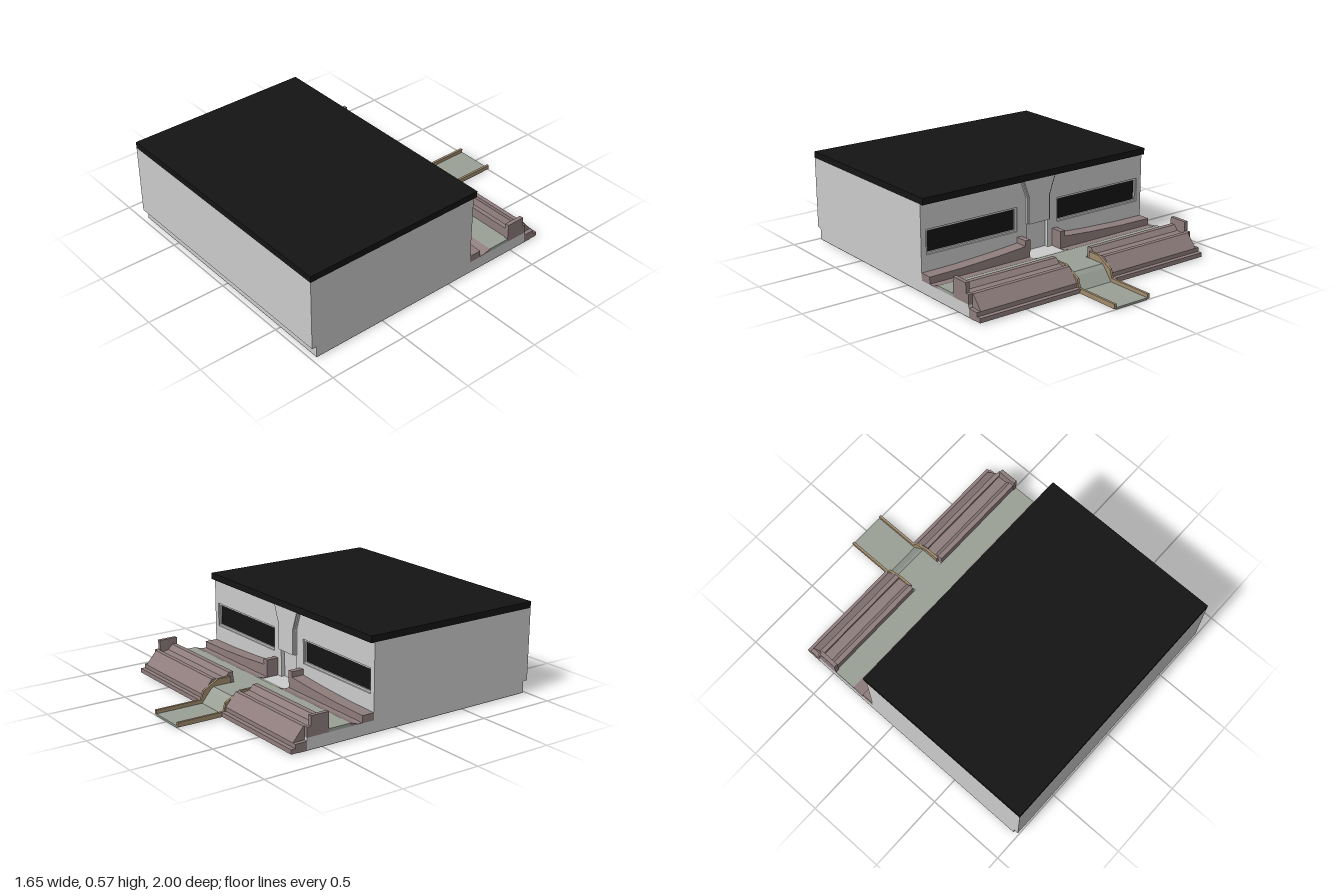
import * as THREE from 'three';

const mat = (color) => new THREE.MeshStandardMaterial({ color, flatShading: true });

export function createModel() {
  const model = new THREE.Group();
  const wall = mat(0xcccccc), black = mat(0x141414), brown = mat(0x8f7d7d);
  const paving = mat(0x9aa096), olive = mat(0xa08b6d);

  const add = (name, geometry, material) => {
    const mesh = new THREE.Mesh(geometry, material);
    mesh.name = name;
    model.add(mesh);
    return mesh;
  };
  // Box given by its limits on each axis
  const box = (name, material, x0, x1, y0, y1, z0, z1) => {
    const g = new THREE.BoxGeometry(x1 - x0, y1 - y0, z1 - z0);
    g.translate((x0 + x1) / 2, (y0 + y1) / 2, (z0 + z1) / 2);
    return add(name, g, material);
  };
  const outline = (points) => new THREE.Shape(points.map(([a, b]) => new THREE.Vector2(a, b)));
  // Side profile of [z, y] points, drawn out along x
  const along = (name, material, x0, x1, points) => {
    const g = new THREE.ExtrudeGeometry(outline(points.map(([z, y]) => [-z, y])),
      { depth: x1 - x0, bevelEnabled: false });
    g.rotateY(Math.PI / 2);
    g.translate(x0, 0, 0);
    return add(name, g, material);
  };
  // Outline of [x, y] points, drawn out along z
  const upright = (name, material, z0, z1, points, holes = []) => {
    const shape = outline(points);
    holes.forEach((h) => shape.holes.push(outline(h)));
    const g = new THREE.ExtrudeGeometry(shape, { depth: z1 - z0, bevelEnabled: false });
    g.translate(0, 0, z0);
    return add(name, g, material);
  };
  const rect = (x0, x1, y0, y1) => [[x0, y0], [x1, y0], [x1, y1], [x0, y1]];

  // Building
  const W = 0.825;
  box('mainBody', wall, -W, W, 0.08, 0.53, -0.135, 1);
  box('plinth', wall, -W, W, 0.01, 0.08, -0.61, 0.97);
  box('undersidePlate', brown, -W, W, 0.006, 0.01, -0.667, 0.97);
  box('roof', black, -W, W, 0.53, 0.57, -0.185, 1);

  // Entrance facade with window and door openings
  upright('facade', wall, -0.16, -0.135,
    [[-W, 0.08], [-0.08, 0.08], [-0.08, 0.27], [0.08, 0.27], [0.08, 0.08], [W, 0.08], [W, 0.53], [-W, 0.53]],
    [rect(-0.79, -0.15, 0.225, 0.375), rect(0.15, 0.79, 0.225, 0.375)]);

  // Tapered panel above the door
  const panel = (w0, w1, y0) => [[-w1, y0], [w1, y0], [w1, 0.42], [w0, 0.53], [-w0, 0.53], [-w1, 0.42]];
  upright('doorPanelBack', wall, -0.175, -0.16, panel(0.125, 0.085, 0.26));
  upright('doorPanelFront', wall, -0.183, -0.175, panel(0.115, 0.075, 0.26));

  // Cross walkway, sloped edge before the door, and path
  along('crossWalk', paving, -W, W, [[-0.32, 0.08], [-0.32, 0.1], [-0.47, 0.1], [-0.47, 0.08]]);
  along('doorRamp', paving, -0.115, 0.115, [[-0.27, 0.08], [-0.32, 0.1], [-0.32, 0.08]]);
  along('entryPath', paving, -0.115, 0.115, [
    [-0.47, 0], [-0.47, 0.1], [-0.617, 0.1], [-0.64, 0.08], [-0.665, 0.05],
    [-0.695, 0.012], [-1, 0.012], [-1, 0]]);

  for (const s of [1, -1]) {
    const side = s > 0 ? 'left' : 'right';
    const span = (a, b) => (s > 0 ? [a, b] : [-b, -a]);

    // Window glass and thin frame
    box(side + 'WindowGlass', black, ...span(0.15, 0.79), 0.225, 0.375, -0.142, -0.135);
    const [f0, f1] = span(0.15, 0.79);
    upright(side + 'WindowFrame', wall, -0.152, -0.142, rect(f0, f1, 0.225, 0.375),
      [rect(f0 + 0.012, f1 - 0.012, 0.237, 0.363)]);

    // Bench bed along the facade, rising towards the inner post
    upright(side + 'Bench', brown, -0.24, -0.16,
      [[0.15, 0.08], [W, 0.08], [W, 0.125], [0.6, 0.128], [0.35, 0.14], [0.15, 0.155]].map(([x, y]) => [s * x, y]));
    box(side + 'BenchPost', brown, ...span(0.115, 0.15), 0.08, 0.19, -0.24, -0.16);
    along(side + 'BenchApron', brown, ...span(0.115, W),
      [[-0.24, 0.08], [-0.24, 0.083], [-0.27, 0.083], [-0.32, 0.1], [-0.32, 0.08]]);

    // Outer planter: back wall, bed, lip and battered front face
    along(side + 'Planter', brown, ...span(0.13, 0.8), [
      [-0.47, 0.08], [-0.47, 0.16], [-0.5, 0.16], [-0.527, 0.13], [-0.59, 0.12],
      [-0.59, 0.14], [-0.617, 0.14], [-0.685, 0.06], [-0.61, 0.05]]);
    along(side + 'PlanterEndPost', brown, ...span(0.8, W), [
      [-0.465, 0.08], [-0.465, 0.2], [-0.585, 0.2], [-0.585, 0.14], [-0.61, 0.14], [-0.61, 0.08]]);
    along(side + 'PlanterSteps', brown, ...span(0.13, W), [
      [-0.61, 0.008], [-0.61, 0.06], [-0.685, 0.06], [-0.685, 0.035], [-0.713, 0.035], [-0.713, 0.008]]);

    // Path curb
    along(side + 'PathCurb', olive, ...span(0.115, 0.13), [
      [-0.5, 0.006], [-0.5, 0.14], [-0.585, 0.14], [-0.61, 0.125], [-0.685, 0.085],
      [-0.7, 0.035], [-1, 0.035], [-1, 0.006]]);
  }
  return model;
}
